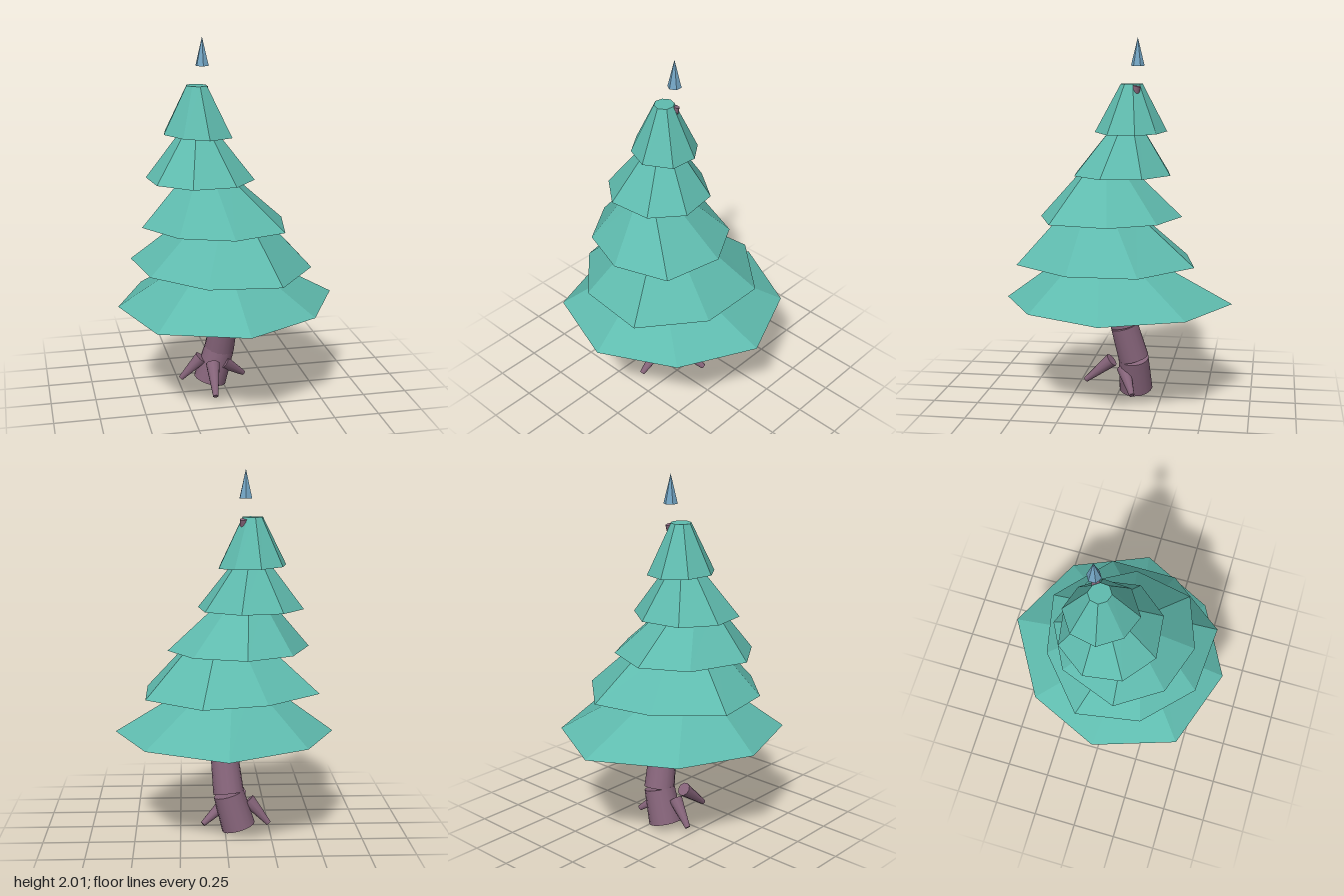
import * as THREE from 'three';

const mat = (name, color, flatShading = false) => {
  const m = new THREE.MeshStandardMaterial({ color, flatShading });
  m.name = name;
  return m;
};

// Tapered cylinder running from point a (radius ra) to point b (radius rb)
function limb(name, a, b, ra, rb, sides, material) {
  const from = new THREE.Vector3(...a), to = new THREE.Vector3(...b);
  const dir = to.clone().sub(from);
  const mesh = new THREE.Mesh(new THREE.CylinderGeometry(rb, ra, dir.length(), sides), material);
  mesh.position.copy(from).add(to).multiplyScalar(0.5);
  mesh.quaternion.setFromUnitVectors(new THREE.Vector3(0, 1, 0), dir.normalize());
  mesh.name = name;
  return mesh;
}

// Closed, leaning frustum: rim is a ring of [x, z] corners, shrunk toward the top centre
function tier({ rim, y, tilt, mid, top, topY, shrink }) {
  const n = rim.length, pos = [], index = [];
  rim.forEach(([x, z]) => pos.push(x, y + tilt * x, z));
  rim.forEach(([x, z]) => pos.push(top[0] + (x - mid[0]) * shrink, topY, top[1] + (z - mid[1]) * shrink));
  pos.push(mid[0], y + tilt * mid[0], mid[1], top[0], topY, top[1]);
  for (let i = 0; i < n; i++) {
    const j = (i + 1) % n;
    index.push(i, n + i, j, j, n + i, n + j, 2 * n, i, j, 2 * n + 1, n + j, n + i);
  }
  const geo = new THREE.BufferGeometry();
  geo.setAttribute('position', new THREE.Float32BufferAttribute(pos, 3));
  geo.setIndex(index);
  const flat = geo.toNonIndexed();
  flat.computeVertexNormals();
  return flat;
}

// Foliage tiers, bottom to top; rims run clockwise seen from above
const TIERS = [
  { rim: [[0, -0.64], [0.43, -0.42], [0.61, 0.01], [0.4, 0.42], [0, 0.63], [-0.46, 0.47], [-0.61, 0.01], [-0.43, -0.39]],
    y: 0.545, tilt: 0.005, mid: [0, 0.01], top: [-0.04, 0.08], topY: 0.83, shrink: 0.26 },
  { rim: [[0.13, -0.44], [0.435, -0.17], [0.435, 0.21], [0.19, 0.53], [-0.2, 0.5], [-0.46, 0.25], [-0.52, -0.11], [-0.22, -0.37]],
    y: 0.772, tilt: -0.015, mid: [-0.02, 0.05], top: [-0.01, 0.09], topY: 1.05, shrink: 0.41 },
  { rim: [[-0.11, -0.35], [0.175, -0.24], [0.315, 0.01], [0.25, 0.335], [-0.04, 0.44], [-0.32, 0.345], [-0.48, 0.1], [-0.36, -0.22]],
    y: 1.008, tilt: -0.01, mid: [-0.08, 0.04], top: [-0.12, 0.07], topY: 1.28, shrink: 0.33 },
  { rim: [[-0.08, -0.285], [0.11, -0.15], [0.145, 0.075], [0.01, 0.24], [-0.23, 0.265], [-0.4, 0.13], [-0.43, -0.08], [-0.305, -0.25]],
    y: 1.242, tilt: -0.01, mid: [-0.14, -0.01], top: [-0.145, -0.035], topY: 1.51, shrink: 0.3 },
  { rim: [[-0.185, -0.255], [-0.045, -0.21], [0.035, -0.1], [0.025, 0.055], [-0.115, 0.145], [-0.25, 0.095], [-0.335, -0.03], [-0.305, -0.175]],
    y: 1.472, tilt: -0.045, mid: [-0.15, -0.06], top: [-0.15, -0.06], topY: 1.745, shrink: 0.3 },
];

// Trunk joints: x, y, z, radius
const TRUNK = [
  [-0.075, 0.018, -0.097, 0.095], [-0.02, 0.21, -0.09, 0.086], [0, 0.4, -0.04, 0.078],
  [0.003, 0.58, 0.0, 0.07], [-0.03, 0.8, 0.05, 0.062], [-0.05, 1.02, 0.06, 0.054],
  [-0.1, 1.25, 0.04, 0.045], [-0.13, 1.48, -0.03, 0.034], [-0.1, 1.735, -0.094, 0.022],
];

const ROOTS = [
  ['frontRoot', [-0.085, 0.17, 0.045], [-0.1, 0.04, 0.2]],
  ['leftRoot', [-0.01, 0.145, -0.035], [0.125, 0.035, -0.1]],
  ['rightRoot', [-0.13, 0.165, -0.075], [-0.245, 0.035, -0.1]],
];

export function createModel() {
  const tree = new THREE.Group();
  tree.name = 'tree';
  const needles = mat('needle teal', 0x5fbbae, true);
  const bark = mat('bark mauve', 0x86647a);
  const ice = mat('tip blue', 0x73a5c4, true);

  // Leaning trunk of overlapping segments
  const trunk = new THREE.Group();
  trunk.name = 'trunk';
  for (let i = 0; i < TRUNK.length - 1; i++) {
    const [x, y, z, r] = TRUNK[i], [x2, y2, z2, r2] = TRUNK[i + 1];
    trunk.add(limb('trunkSegment', [x, y, z], [x2, y2, z2], r, r2, 16, bark));
  }
  tree.add(trunk);

  // Splayed roots
  for (const [name, a, b] of ROOTS) tree.add(limb(name, a, b, 0.04, 0.015, 10, bark));

  // Foliage
  TIERS.forEach((t) => {
    const mesh = new THREE.Mesh(tier(t), needles);
    mesh.name = 'foliageTier';
    tree.add(mesh);
  });

  // Floating tip
  const tip = new THREE.Mesh(new THREE.ConeGeometry(0.038, 0.155, 6), ice);
  tip.position.set(-0.11, 1.9225, -0.097);
  tip.name = 'tip';
  tree.add(tip);

  return tree;
}
